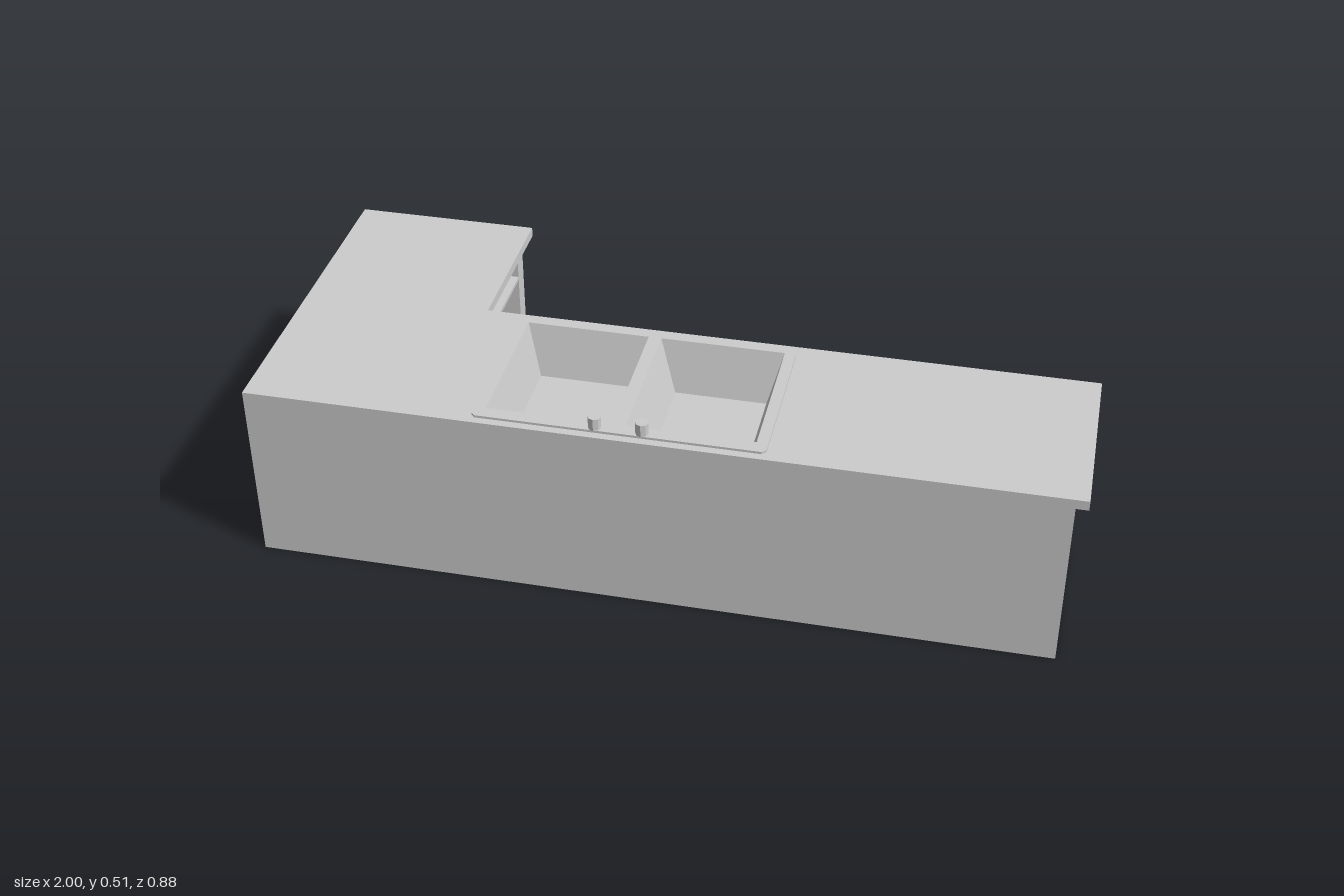
import * as THREE from 'three';

const mat = new THREE.MeshStandardMaterial({ color: 0xcccccc, flatShading: true, side: THREE.DoubleSide });

function add(parent, name, geometry, x = 0, y = 0, z = 0) {
  const mesh = new THREE.Mesh(geometry, mat);
  mesh.name = name;
  mesh.position.set(x, y, z);
  parent.add(mesh);
  return mesh;
}

function group(parent, name) {
  const g = new THREE.Group();
  g.name = name;
  parent.add(g);
  return g;
}

const corners = ([x0, y0, x1, y1]) => [[x0, y0], [x1, y0], [x1, y1], [x0, y1]];

// Flat outline with rectangular holes
function plate(points, holes = []) {
  const shape = new THREE.Shape(points.map(p => new THREE.Vector2(...p)));
  for (const h of holes) {
    shape.holes.push(new THREE.Path(corners(h).reverse().map(p => new THREE.Vector2(...p))));
  }
  return shape;
}

// Open recess going back from z = 0: four walls and a closed end
function recess(outer, inner, depth) {
  const o = corners(outer).map(p => [...p, 0]);
  const n = corners(inner).map(p => [...p, -depth]);
  const pos = [];
  const quad = (a, b, c, d) => pos.push(...a, ...b, ...c, ...a, ...c, ...d);
  for (let i = 0; i < 4; i++) {
    const j = (i + 1) % 4;
    quad(o[i], o[j], n[j], n[i]);
  }
  quad(...n);
  const geo = new THREE.BufferGeometry();
  geo.setAttribute('position', new THREE.Float32BufferAttribute(pos, 3));
  geo.computeVertexNormals();
  return geo;
}

const H = 0.45, TOP = 0.475, DEPTH = 0.24;
const DOOR = [0.02, 0.347], DRAWER = [0.357, 0.415];

// Face frame with recessed compartments, built facing +z
function cabinetFace(parent, name, x0, x1, bays) {
  const g = group(parent, name);
  const openings = [];
  for (const { a, b, drawer, shelves } of bays) {
    openings.push([a, DOOR[0], b, DOOR[1]]);
    if (drawer) openings.push([a, DRAWER[0], b, DRAWER[1]]);
    for (let i = 1; i <= shelves; i++) {
      const y = DOOR[0] + (DOOR[1] - DOOR[0]) * i / (shelves + 1);
      add(g, 'shelf', new THREE.BoxGeometry(b - a, 0.01, DEPTH - 0.005), (a + b) / 2, y, -DEPTH / 2 - 0.0025);
    }
  }
  add(g, 'faceFrame', new THREE.ShapeGeometry(plate(corners([x0, 0, x1, H]), openings)));
  for (const o of openings) add(g, 'compartment', recess(o, o, DEPTH));
  return g;
}

export function createModel() {
  const model = new THREE.Group();
  model.name = 'kitchenCounter';

  // Outer panels, open underneath
  const panels = group(model, 'outerPanels');
  const panel = (name, width, x, z, turn) => {
    add(panels, name, new THREE.PlaneGeometry(width, H), x, H / 2, z).rotation.y = turn;
  };
  panel('frontPanel', 1.97, -0.015, 0.44, 0);
  panel('leftEndPanel', 0.44, 0.97, 0.22, Math.PI / 2);
  panel('rightEndPanel', 0.86, -1, 0.01, -Math.PI / 2);
  panel('wingEndPanel', 0.445, -0.7775, -0.42, Math.PI);

  // Main run of five bays facing the back
  const mainBays = [];
  const pitch = 0.289;
  for (let i = 0; i < 5; i++) {
    const a = -0.925 + i * pitch;
    mainBays.push({ a, b: a + pitch - 0.012, drawer: i < 2, shelves: 2 });
  }
  cabinetFace(model, 'mainCabinet', -0.97, 0.555, mainBays).rotation.y = Math.PI;

  // Wing cabinet facing the inner corner
  const wing = cabinetFace(model, 'wingCabinet', 0, 0.42, [{ a: 0.038, b: 0.375, drawer: true, shelves: 0 }]);
  wing.rotation.y = Math.PI / 2;
  wing.position.x = -0.555;

  // Horizontal parts are drawn in x and -z, then laid flat
  const flat = (parent, name, geo, y) => add(parent, name, geo.rotateX(-Math.PI / 2), 0, y, 0);

  // L-shaped worktop with the sink cut-out
  const worktop = plate(
    [[-1, -0.44], [1, -0.44], [1, 0.028], [-0.53, 0.028], [-0.53, 0.44], [-1, 0.44]],
    [[-0.42, -0.395, 0.245, -0.008]]
  );
  flat(model, 'worktop', new THREE.ExtrudeGeometry(worktop, { depth: TOP - H, bevelEnabled: false }), H);

  // Double sink: rim with clipped corners and two tapered basins
  const sink = group(model, 'sink');
  const basins = [
    [[-0.412, -0.385, -0.105, -0.013], [-0.375, -0.35, -0.145, -0.052]],
    [[-0.073, -0.385, 0.236, -0.013], [-0.03, -0.35, 0.2, -0.052]],
  ];
  const c = 0.01, [l, f, r, b] = [-0.44, -0.42, 0.264, -0.002];
  const rim = plate(
    [[l + c, f], [r - c, f], [r, f + c], [r, b - c], [r - c, b], [l + c, b], [l, b - c], [l, f + c]],
    basins.map(([outer]) => outer)
  );
  flat(sink, 'sinkRim', new THREE.ExtrudeGeometry(rim, { depth: 0.006, bevelEnabled: false }), TOP);
  for (const [outer, inner] of basins) flat(sink, 'basin', recess(outer, inner, 0.13), TOP + 0.006);

  // Tap knobs
  for (const x of [-0.143, -0.03]) {
    add(sink, 'tapKnob', new THREE.CylinderGeometry(0.016, 0.016, 0.032, 8), x, 0.496, 0.406);
  }
  return model;
}
